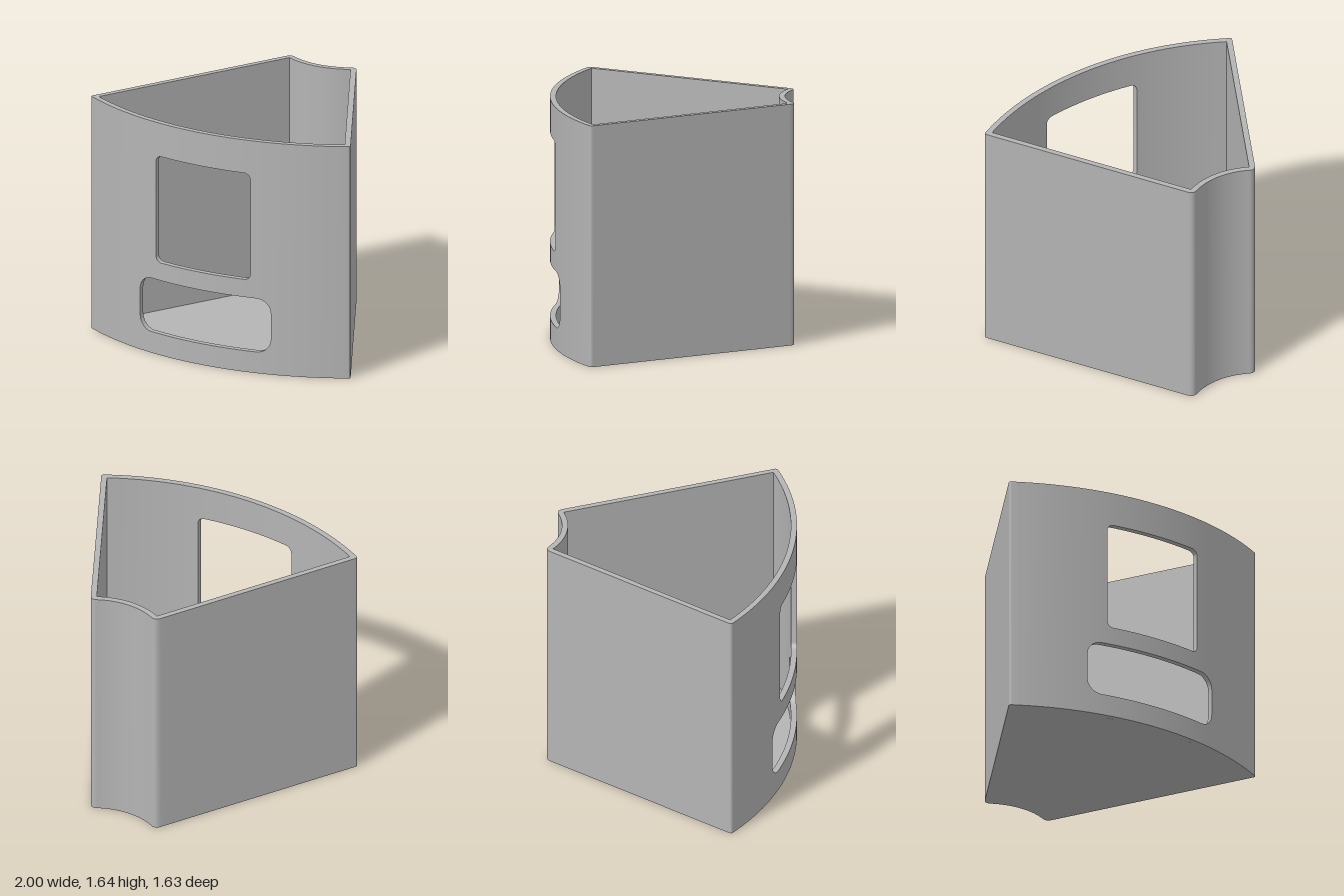
import * as THREE from 'three';
import { toCreasedNormals } from 'three/addons/utils/BufferGeometryUtils.js';

const H = 1.645, T = 0.04;             // height, wall and floor thickness
const CZ = -1.22;                      // shared centre of all arcs
const R_FRONT = 2.03, R_BACK = 0.46;   // outer arc radii
const EDGE = 0.95;                     // half width of the curved front panel
const INNER_BACK = 0.235;              // half width of the inner back arc

// Window openings: half width, bottom, top, corner radius
const WINDOWS = [
  { w: 0.505, lo: 0.15, hi: 0.53, r: 0.1 },
  { w: 0.365, lo: 0.655, hi: 1.41, r: 0.045 },
];

const arcZ = (r, x) => CZ + Math.sqrt(r * r - x * x);
const frontZ = x => arcZ(R_FRONT, x);
const insideZ = x => arcZ(R_FRONT - T, x);
const v2 = (x, y) => new THREE.Vector2(x, y);

function arcPoints(r, x0, x1, n) {
  return Array.from({ length: n + 1 }, (_, i) => {
    const x = x0 + (x1 - x0) * i / n;
    return v2(x, arcZ(r, x));
  });
}

// Extrudes a plan outline (x, z) upward from the ground
function extrudePlan(points, height) {
  const geo = new THREE.ExtrudeGeometry(new THREE.Shape(points), { depth: height, bevelEnabled: false });
  geo.rotateX(Math.PI / 2).translate(0, height, 0);
  return toCreasedNormals(geo, 0.4);
}

// Two flat sides and the concave back, with rounded outer corners
function sidesAndBack() {
  const side = k => v2(0.27 + 0.715 * k, -0.798 + 1.309 * k);
  const corner = (a, b, c) => new THREE.QuadraticBezierCurve(a, b, c).getPoints(10);
  const right = [
    v2(EDGE, frontZ(EDGE)),
    ...corner(v2(0.985, frontZ(0.985)), v2(1.004, 0.545), side(1.014)),
    side(0.99), side(0.03),
    ...corner(side(0.008), v2(0.251, -0.8345), v2(0.21, arcZ(R_BACK, 0.21))),
  ];
  const left = right.map(p => v2(-p.x, p.y)).reverse();
  return extrudePlan([
    ...right,
    ...arcPoints(R_BACK, 0.21, -0.21, 24).slice(1, -1),
    ...left,
    v2(-EDGE, insideZ(EDGE)),
    ...arcPoints(R_BACK + T, -INNER_BACK, INNER_BACK, 24),
    v2(EDGE, insideZ(EDGE)),
  ], H);
}

function floorPlate() {
  return extrudePlan([
    ...arcPoints(R_FRONT - T, EDGE, -EDGE, 38),
    ...arcPoints(R_BACK + T, -INNER_BACK, INNER_BACK, 24),
  ], T);
}

// Curved front panel, made of vertical strips that stop at the windows
function frontPanel() {
  const pos = [];
  const quad = (a, b, c, d) => pos.push(...a, ...b, ...c, ...a, ...c, ...d);
  const out = (x, y) => [x, y, frontZ(x)];
  const inn = (x, y) => [x, y, insideZ(x)];

  // Strip edges: even spacing plus samples round the window corners
  const xs = [];
  for (let i = 0; i <= 38; i++) xs.push(-EDGE + 2 * EDGE * i / 38);
  for (const { w, r } of WINDOWS) {
    for (let i = 0; i <= 8; i++) {
      const x = w - r + r * Math.sin(Math.PI / 2 * i / 8);
      xs.push(x, -x);
    }
  }
  xs.sort((a, b) => a - b);
  const edges = xs.filter((x, i) => i === 0 || x - xs[i - 1] > 1e-6);

  // How far a rounded corner eats into the opening at x
  const inset = ({ w, r }, x) => {
    const d = Math.min(r, Math.max(0, Math.abs(x) - (w - r)));
    return r - Math.sqrt(r * r - d * d);
  };

  for (let i = 0; i < edges.length - 1; i++) {
    const x0 = edges[i], x1 = edges[i + 1];
    const open = WINDOWS.filter(o => Math.abs((x0 + x1) / 2) < o.w);
    const levels = x => [0, ...open.flatMap(o => [o.lo + inset(o, x), o.hi - inset(o, x)]), H];
    const a = levels(x0), b = levels(x1);
    for (let j = 0; j < a.length; j += 2) {
      quad(out(x0, a[j]), out(x1, b[j]), out(x1, b[j + 1]), out(x0, a[j + 1]));
      quad(inn(x1, b[j]), inn(x0, a[j]), inn(x0, a[j + 1]), inn(x1, b[j + 1]));
      quad(out(x0, a[j + 1]), out(x1, b[j + 1]), inn(x1, b[j + 1]), inn(x0, a[j + 1]));
      quad(inn(x0, a[j]), inn(x1, b[j]), out(x1, b[j]), out(x0, a[j]));
    }
  }

  // Upright window jambs
  for (const { w, lo, hi, r } of WINDOWS) {
    const y0 = lo + r, y1 = hi - r;
    quad(inn(w, y0), out(w, y0), out(w, y1), inn(w, y1));
    quad(out(-w, y0), inn(-w, y0), inn(-w, y1), out(-w, y1));
  }

  const geo = new THREE.BufferGeometry();
  geo.setAttribute('position', new THREE.Float32BufferAttribute(pos, 3));
  return toCreasedNormals(geo, 0.4);
}

export function createModel() {
  const grey = new THREE.MeshStandardMaterial({ color: 0xb4b4b4 });
  grey.name = 'plain grey';
  const group = new THREE.Group();
  group.name = 'wedgeBin';
  const parts = { sidesAndBack: sidesAndBack(), floor: floorPlate(), frontPanel: frontPanel() };
  for (const [name, geo] of Object.entries(parts)) {
    const mesh = new THREE.Mesh(geo, grey);
    mesh.name = name;
    group.add(mesh);
  }
  return group;
}
